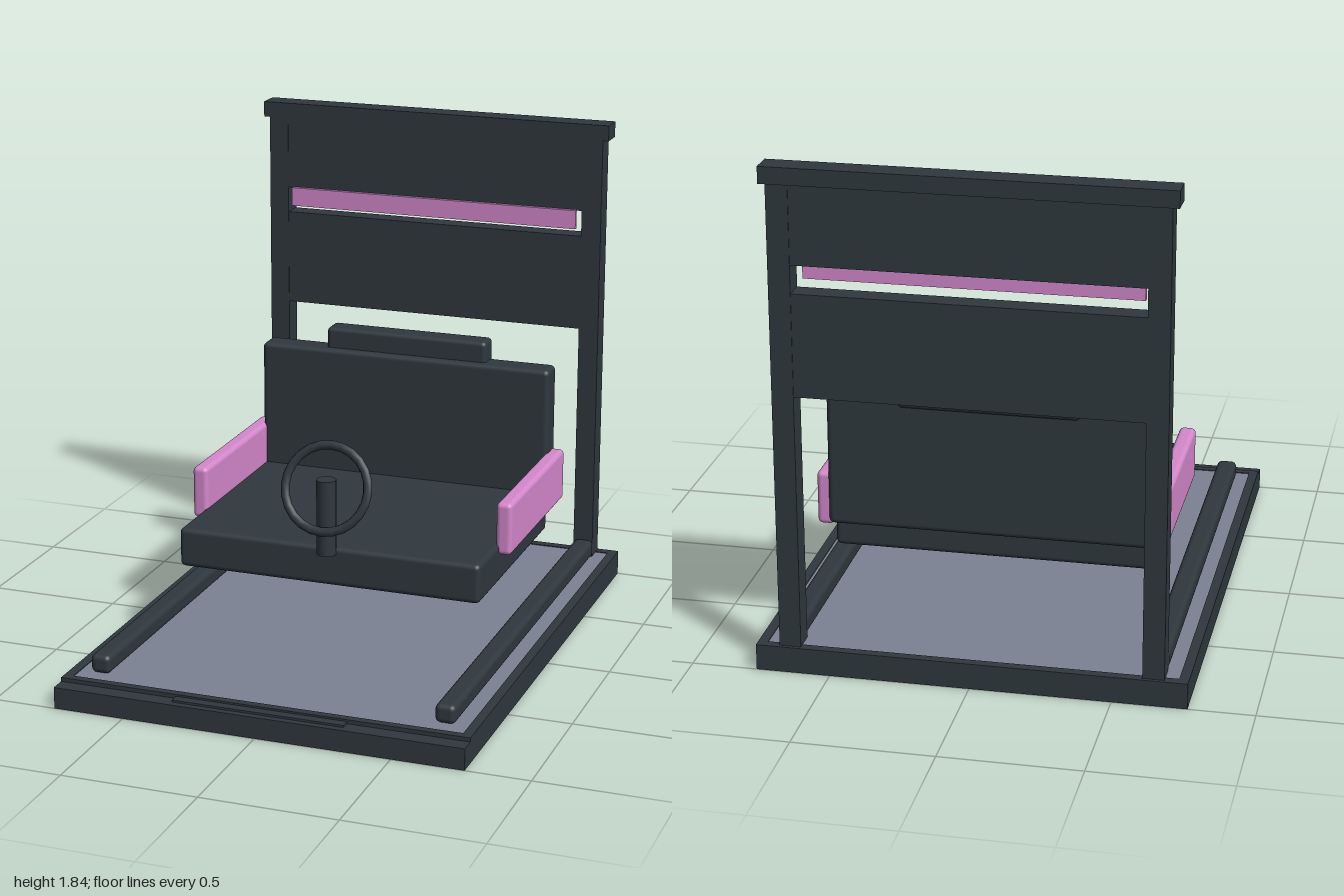
import * as THREE from 'three';
import { RoundedBoxGeometry } from 'three/addons/geometries/RoundedBoxGeometry.js';

export function createModel() {
  const model = new THREE.Group();
  model.name = 'driverSeatPlatform';

  const mat = (name, color) => {
    const m = new THREE.MeshStandardMaterial({ color });
    m.name = name;
    return m;
  };
  const dark = mat('charcoal', 0x2f383e);
  const pink = mat('pink', 0xd488cb);
  const grey = mat('floorGrey', 0x7c8293);

  const add = (name, geometry, material) => {
    const mesh = new THREE.Mesh(geometry, material);
    mesh.name = name;
    model.add(mesh);
    return mesh;
  };
  // Box from its limits on each axis; a radius above 0 rounds its edges
  const box = (name, material, [x0, x1], [y0, y1], [z0, z1], radius = 0) => {
    const size = [x1 - x0, y1 - y0, z1 - z0];
    const geometry = radius
      ? new RoundedBoxGeometry(...size, 3, radius)
      : new THREE.BoxGeometry(...size);
    const mesh = add(name, geometry, material);
    mesh.position.set((x0 + x1) / 2, (y0 + y1) / 2, (z0 + z1) / 2);
    return mesh;
  };
  // Mirrored pair, given the limits of the +x one
  const pair = (name, material, [x0, x1], y, z, radius) => {
    box(name + 'Left', material, [x0, x1], y, z, radius);
    box(name + 'Right', material, [-x1, -x0], y, z, radius);
  };

  // Base: floor inside a border, with a lower lip and step plate in front
  box('floor', grey, [-0.73, 0.73], [0, 0.092], [-0.965, 0.91]);
  pair('baseSide', dark, [0.73, 0.765], [0, 0.095], [-1, 0.94]);
  box('baseBack', dark, [-0.73, 0.73], [0, 0.095], [-1, -0.965]);
  box('baseFront', dark, [-0.73, 0.73], [0, 0.095], [0.91, 0.94]);
  box('frontLip', dark, [-0.765, 0.765], [0, 0.08], [0.94, 1]);
  box('stepPlate', dark, [-0.32, 0.32], [0.08, 0.088], [0.94, 0.975]);
  pair('floorRail', dark, [0.61, 0.685], [0.095, 0.165], [-0.91, 0.865], 0.02);

  // Rear frame: posts, top beam, two panels and a light strip
  pair('post', dark, [0.605, 0.682], [0.095, 1.78], [-0.987, -0.903]);
  box('topBeam', dark, [-0.705, 0.705], [1.78, 1.84], [-0.993, -0.9]);
  box('upperPanel', dark, [-0.605, 0.605], [1.5, 1.78], [-0.984, -0.905]);
  box('lowerPanel', dark, [-0.605, 0.605], [1.03, 1.4], [-0.984, -0.905]);
  box('lightStrip', pink, [-0.585, 0.585], [1.43, 1.503], [-0.905, -0.888]);

  // Seat
  box('seatCushion', dark, [-0.585, 0.585], [0.31, 0.46], [-0.575, 0.285], 0.02);
  box('seatBack', dark, [-0.585, 0.585], [0.43, 0.95], [-0.665, -0.56], 0.02);
  box('headrest', dark, [-0.325, 0.325], [0.895, 1.03], [-0.68, -0.588], 0.018);
  pair('armrest', pink, [0.57, 0.63], [0.42, 0.62], [-0.65, 0.05], 0.018);

  // Steering column and tilted wheel
  add('steeringColumn', new THREE.CylinderGeometry(0.037, 0.037, 0.285, 12), dark)
    .position.set(0, 0.577, 0.285);
  const wheel = add('steeringWheel', new THREE.TorusGeometry(0.159, 0.017, 8, 24), dark);
  wheel.position.set(0, 0.685, 0.285);
  wheel.rotation.x = -0.35;

  return model;
}
